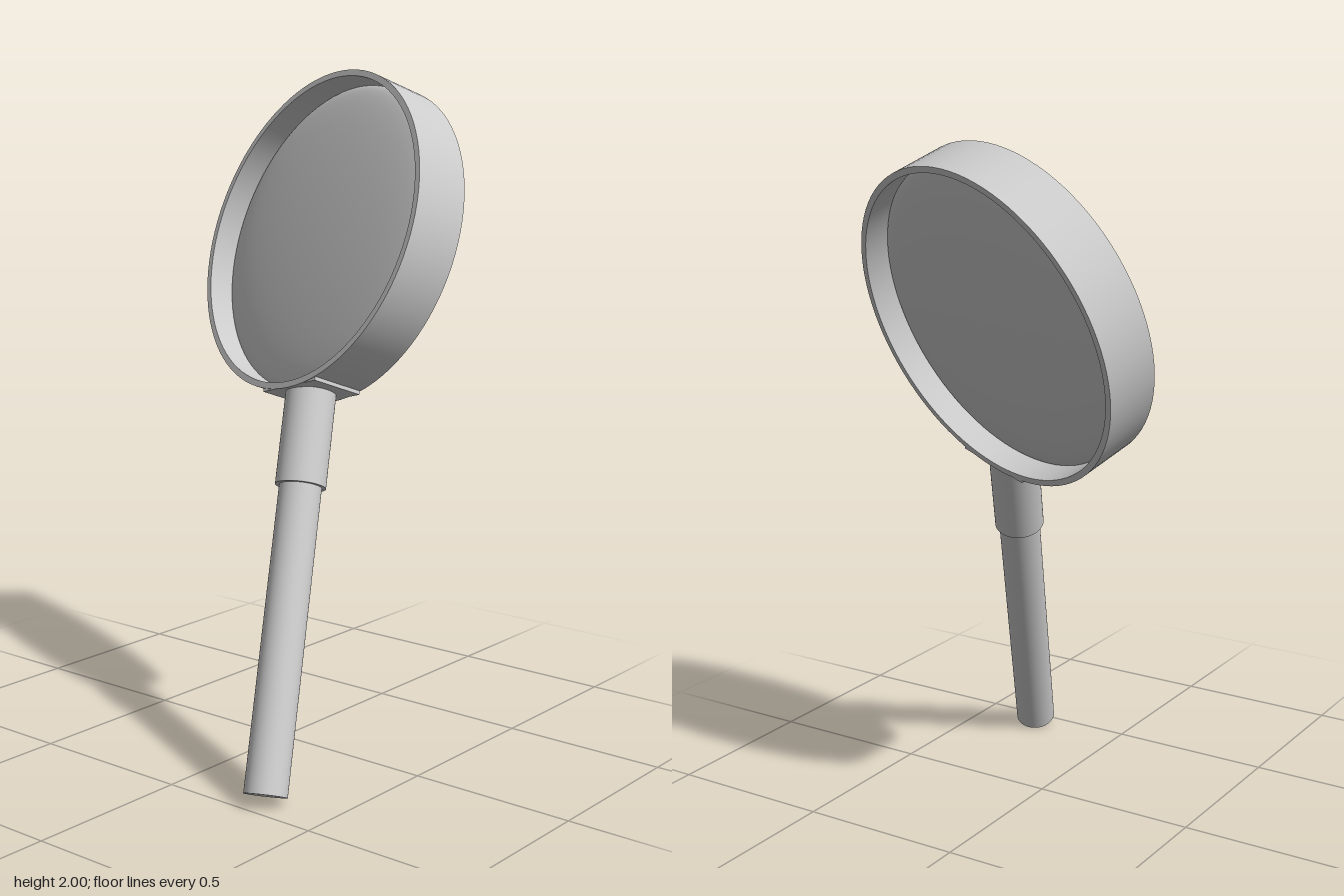
import * as THREE from 'three';
import { toCreasedNormals } from 'three/addons/utils/BufferGeometryUtils.js';

export function createModel() {
  const model = new THREE.Group();
  model.name = 'magnifyingGlass';
  const material = new THREE.MeshStandardMaterial({ color: 0xcccccc });

  const R = 0.491, inner = 0.472, half = 0.086;

  function add(name, geometry, y = 0) {
    const mesh = new THREE.Mesh(geometry, material);
    mesh.name = name;
    mesh.position.y = y;
    model.add(mesh);
  }

  // Rim: thin hollow band, axis along local z
  const profile = [[R, -half], [R, half], [inner, half], [inner, -half], [R, -half]]
    .map(([x, y]) => new THREE.Vector2(x, y));
  const rim = toCreasedNormals(new THREE.LatheGeometry(profile, 96), 0.6);
  rim.rotateX(Math.PI / 2);
  add('rim', rim);

  // Lens: shallow convex disc in the middle of the rim
  const lens = new THREE.SphereGeometry(1, 96, 48);
  lens.rotateX(Math.PI / 2);
  lens.scale(inner, inner, 0.045);
  add('lens', lens);

  // Flat mounting pad, almost flush with the rim where it meets the handle
  add('mountingPad', new THREE.BoxGeometry(0.24, 0.012, 0.168), -0.481);

  // Handle parts, measured down from the rim centre
  function rod(name, radius, top, bottom) {
    add(name, new THREE.CylinderGeometry(radius, radius, bottom - top, 48), -(top + bottom) / 2);
  }
  rod('sleeve', 0.074, 0.479, 0.767);
  rod('handle', 0.062, 0.6, 1.645);

  // Lean the whole glass: handle along local y, lens facing local z
  const up = new THREE.Vector3(0.395, 0.9, -0.1825).normalize();
  const facing = new THREE.Vector3(0.902, -0.343, 0.263);
  facing.addScaledVector(up, -facing.dot(up)).normalize();
  const side = new THREE.Vector3().crossVectors(up, facing);
  model.quaternion.setFromRotationMatrix(new THREE.Matrix4().makeBasis(side, up, facing));
  model.position.set(0.209, 1.508, 0);

  const root = new THREE.Group();
  root.add(model);
  return root;
}
